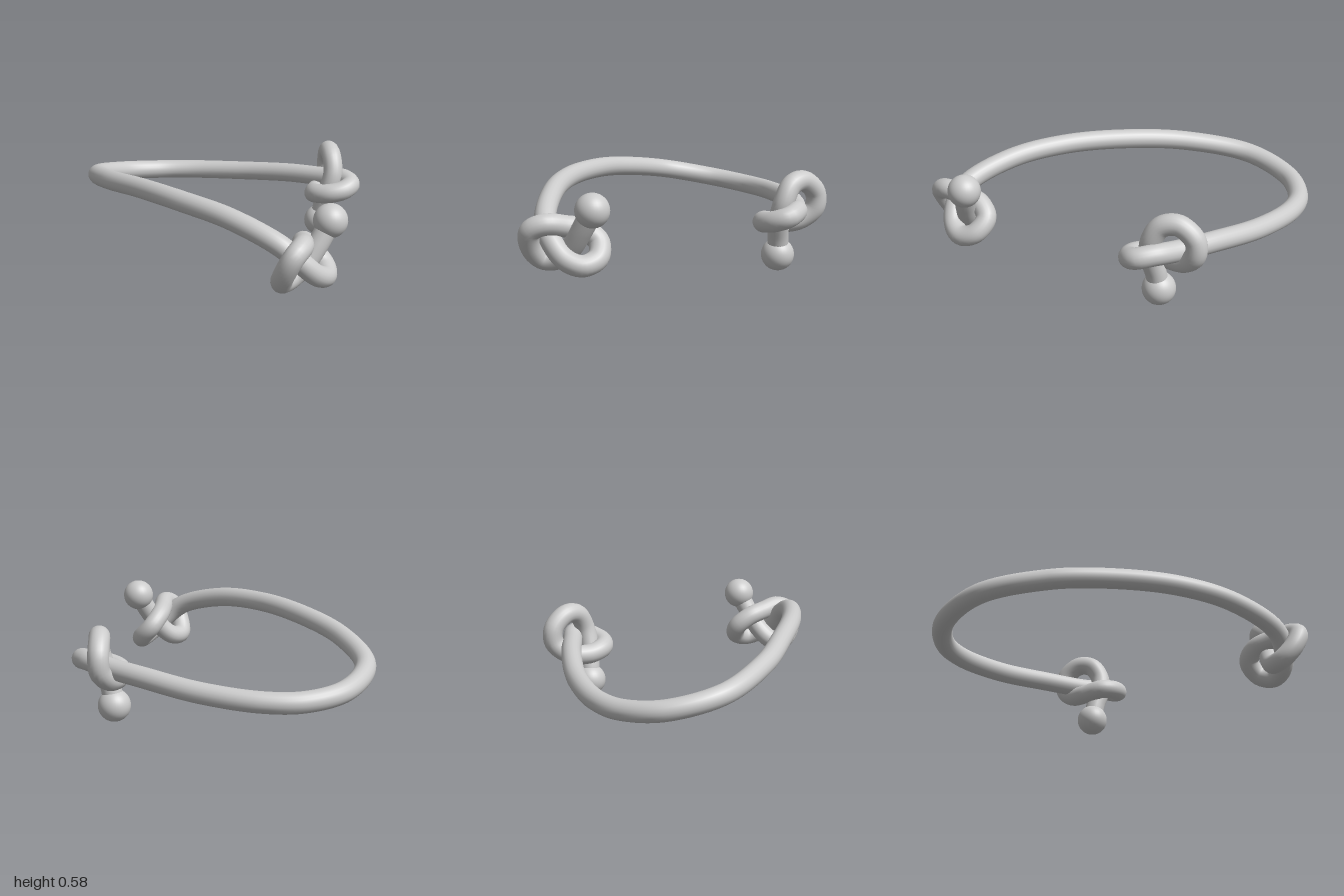
import * as THREE from 'three';

const RADIUS = 0.06;
const BALL_RADIUS = 0.095;

// Centre line: front ball -> front knot -> open hoop -> back knot -> back ball
const frontKnot = [
  [0.74, 0.48, 0.65], [0.68, 0.36, 0.69], [0.61, 0.25, 0.73], [0.54, 0.185, 0.78],
  [0.50, 0.185, 0.85], [0.52, 0.26, 0.92], [0.57, 0.36, 0.938], [0.605, 0.395, 0.87],
  [0.60, 0.375, 0.75], [0.60, 0.35, 0.65], [0.64, 0.285, 0.578], [0.71, 0.21, 0.61],
  [0.725, 0.18, 0.70], [0.68, 0.21, 0.78], [0.59, 0.30, 0.83],
];
const hoop = [
  [0.48, 0.385, 0.825], [0.2, 0.475, 0.69], [-0.1, 0.50, 0.49], [-0.4, 0.485, 0.21],
  [-0.65, 0.44, -0.08], [-0.81, 0.37, -0.45], [-0.72, 0.31, -0.75], [-0.52, 0.285, -0.9],
  [-0.3, 0.285, -0.94], [0.05, 0.305, -0.885], [0.4, 0.34, -0.755],
];
const backKnot = [
  [0.62, 0.355, -0.645], [0.75, 0.37, -0.57], [0.803, 0.355, -0.49], [0.76, 0.33, -0.43],
  [0.67, 0.31, -0.412], [0.59, 0.295, -0.46], [0.572, 0.275, -0.56], [0.60, 0.29, -0.68],
  [0.63, 0.36, -0.76], [0.635, 0.45, -0.76], [0.65, 0.525, -0.67], [0.675, 0.51, -0.58],
  [0.69, 0.42, -0.525], [0.665, 0.31, -0.51], [0.63, 0.2, -0.525], [0.61, 0.098, -0.535],
];

export function createModel() {
  const group = new THREE.Group();
  const material = new THREE.MeshStandardMaterial({ color: 0xcccccc });
  const add = (name, geometry) => {
    const mesh = new THREE.Mesh(geometry, material);
    mesh.name = name;
    group.add(mesh);
    return mesh;
  };

  // One continuous bar, tied in an overhand knot at both ends
  const points = [...frontKnot, ...hoop, ...backKnot].map((p) => new THREE.Vector3(...p));
  const path = new THREE.CatmullRomCurve3(points, false, 'centripetal');
  path.arcLengthDivisions = 1000;
  add('knottedBangle', new THREE.TubeGeometry(path, 400, RADIUS, 20, false));

  // Ball on each tip
  const ball = new THREE.SphereGeometry(BALL_RADIUS, 32, 20);
  add('frontBall', ball).position.copy(points[0]);
  add('backBall', ball).position.copy(points[points.length - 1]);

  return group;
}
